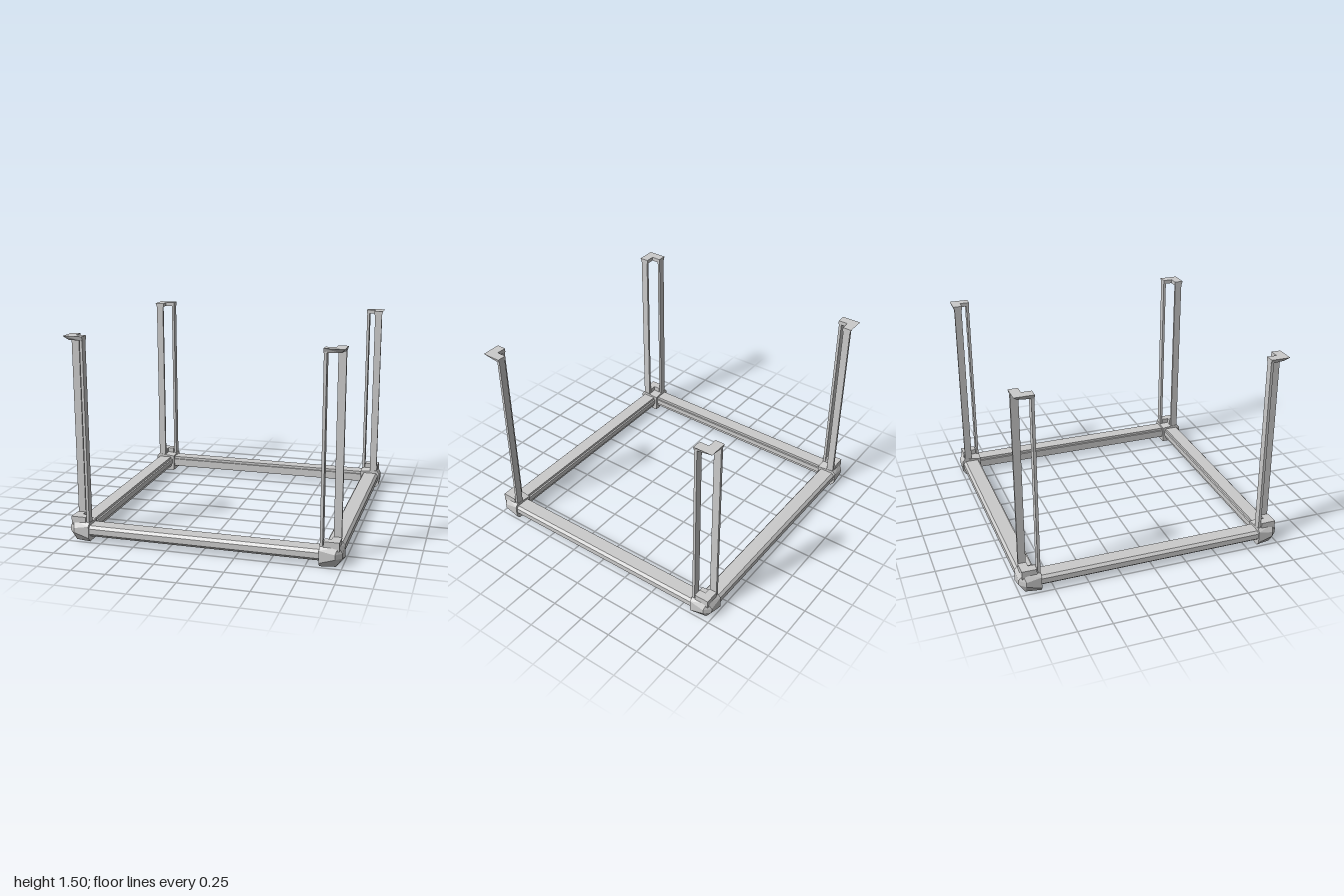
import * as THREE from 'three';
import { ConvexGeometry } from 'three/addons/geometries/ConvexGeometry.js';

const material = new THREE.MeshStandardMaterial({ color: 0xcccccc, flatShading: true });

function mesh(name, geometry) {
  const m = new THREE.Mesh(geometry, material);
  m.name = name;
  return m;
}

function extrude(points, depth) {
  const shape = new THREE.Shape(points.map(([x, y]) => new THREE.Vector2(x, y)));
  return new THREE.ExtrudeGeometry(shape, { depth, bevelEnabled: false });
}

// L-shaped plate round the outer corner, lying between two heights
function lPlate(inner, notch, outer, bottom, top) {
  const points = [[inner, notch], [notch, notch], [notch, inner],
    [outer, inner], [outer, outer], [inner, outer]];
  return extrude(points, top - bottom).rotateX(Math.PI / 2).translate(0, top, 0);
}

// Rail section: bevelled outer side, stepped lip on the inner side
function railGeometry() {
  const section = [[0.87, 0.12], [0.87, 0.1], [0.857, 0.1], [0.857, 0.06], [0.868, 0.06],
    [0.868, 0.035], [0.96, 0.035], [0.99, 0.06], [0.99, 0.1], [0.972, 0.12]];
  return extrude(section, 1.72).translate(0, 0, -0.86);
}

// Faceted joint, symmetric about its diagonal
function jointGeometry() {
  const half = [[0.843, 0.03, 1], [0.955, 0.065, 1], [0.955, 0.1, 1], [0.843, 0.12, 1],
    [0.843, 0, 0.975], [0.843, 0.145, 0.978]];
  const diagonal = [[0.955, 0, 0.955], [0.97, 0.15, 0.97], [0.843, 0, 0.843],
    [0.843, 0.13, 0.843]];
  const points = [];
  for (const [x, y, z] of half) {
    points.push(new THREE.Vector3(x, y, z), new THREE.Vector3(z, y, x));
  }
  for (const p of diagonal) points.push(new THREE.Vector3(...p));
  return new ConvexGeometry(points);
}

// Cap with its underside cut back toward the outer corner
function capGeometry() {
  const geometry = lPlate(0.843, 0.915, 0.985, 1.47, 1.5);
  const p = geometry.attributes.position;
  for (let i = 0; i < p.count; i++) {
    if (p.getY(i) > 1.48) continue;
    const x = p.getX(i), z = p.getZ(i);
    const cut = x > 0.98 && z > 0.98 ? 0.955 : 0.976;
    p.setX(i, Math.min(x, cut));
    p.setZ(i, Math.min(z, cut));
  }
  geometry.computeVertexNormals();
  return geometry;
}

export function createModel() {
  const model = new THREE.Group();
  model.name = 'cornerPostFrame';

  const rail = railGeometry();
  const joint = jointGeometry();
  const collar = lPlate(0.87, 0.918, 0.98, 0.12, 0.182);
  const cap = capGeometry();
  const stripA = new THREE.BoxGeometry(0.02, 1.37, 0.055).translate(0.855, 0.795, 0.948);
  const stripB = new THREE.BoxGeometry(0.055, 1.37, 0.02).translate(0.948, 0.795, 0.855);

  // One rail and one corner post per quarter turn
  for (let i = 0; i < 4; i++) {
    const quarter = new THREE.Group();
    quarter.name = 'quarter' + (i + 1);
    quarter.rotation.y = i * Math.PI / 2;
    quarter.add(
      mesh('baseRail', rail),
      mesh('cornerJoint', joint),
      mesh('postCollar', collar),
      mesh('postStripA', stripA),
      mesh('postStripB', stripB),
      mesh('postCap', cap),
    );
    model.add(quarter);
  }
  return model;
}
